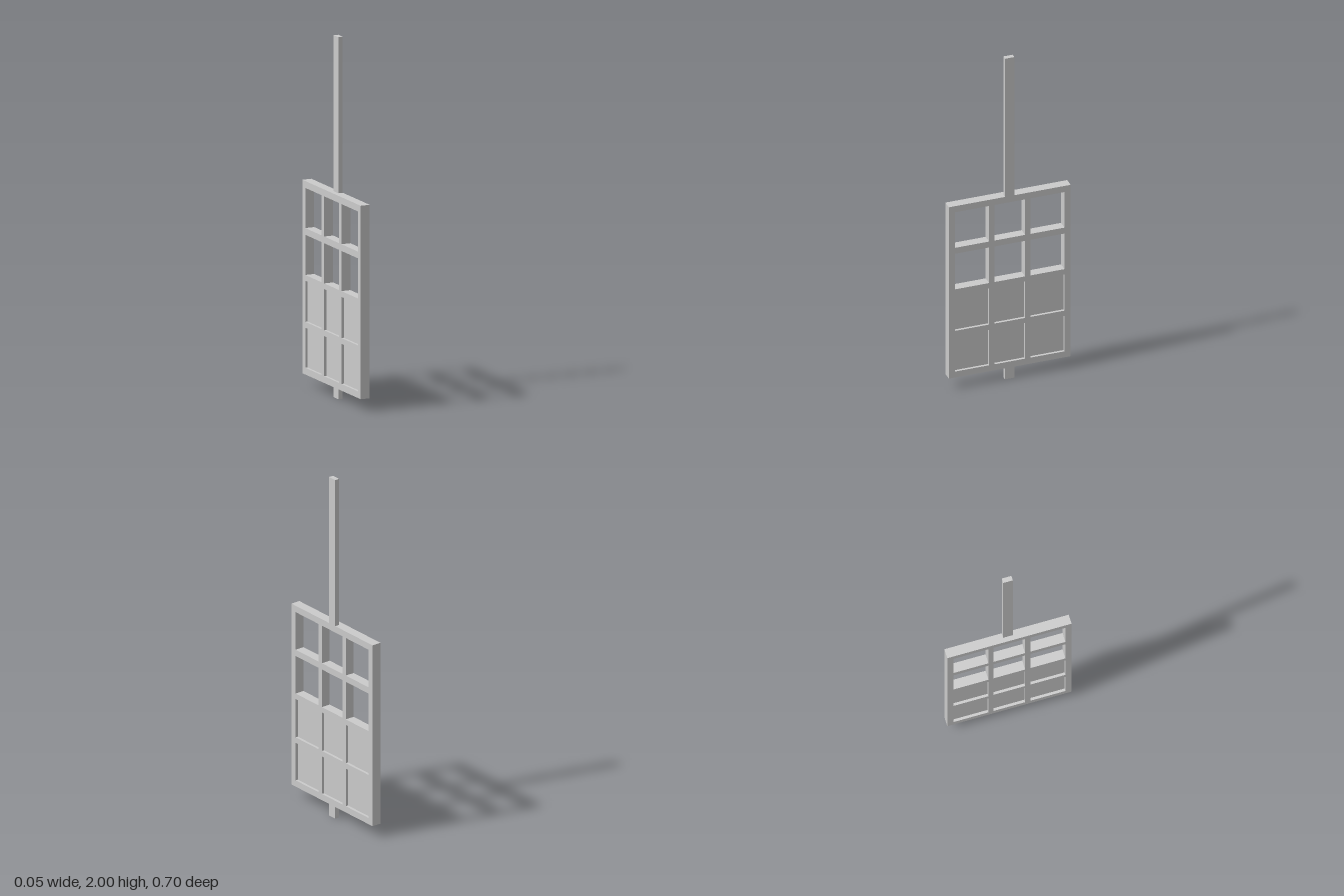
import * as THREE from 'three';

const material = new THREE.MeshStandardMaterial({ color: 0xcccccc, flatShading: true });

const HALF_WIDTH = 0.349, BOTTOM = 0.069, TOP = 1.138, DEPTH = 0.054;
const PANEL_DEPTH = 0.024, POST_WIDTH = 0.054;

// Openings of the grid: [from, to] across (z) and up (y)
const columns = [[-0.314, -0.118], [-0.088, 0.088], [0.118, 0.314]];
const panelRows = [[0.106, 0.328], [0.36, 0.587]];
const windowRows = [[0.619, 0.841], [0.878, 1.1]];

function addBox(parent, name, [x0, x1], [y0, y1], [z0, z1]) {
  const mesh = new THREE.Mesh(new THREE.BoxGeometry(x1 - x0, y1 - y0, z1 - z0), material);
  mesh.position.set((x0 + x1) / 2, (y0 + y1) / 2, (z0 + z1) / 2);
  mesh.name = name;
  parent.add(mesh);
}

function rectangle(path, [a0, a1], [b0, b1]) {
  return path.moveTo(a0, b0).lineTo(a1, b0).lineTo(a1, b1).lineTo(a0, b1).closePath();
}

export function createModel() {
  const model = new THREE.Group();
  model.name = 'latticeDoor';

  // Frame with bars, cut from one slab and turned to face sideways
  const outline = rectangle(new THREE.Shape(), [-HALF_WIDTH, HALF_WIDTH], [BOTTOM, TOP]);
  for (const row of [...panelRows, ...windowRows]) {
    for (const column of columns) outline.holes.push(rectangle(new THREE.Path(), column, row));
  }
  const geometry = new THREE.ExtrudeGeometry(outline, { depth: DEPTH, bevelEnabled: false });
  geometry.translate(0, 0, -DEPTH / 2).rotateY(-Math.PI / 2);
  const frame = new THREE.Mesh(geometry, material);
  frame.name = 'frame';
  model.add(frame);

  // Recessed panels closing the two lower rows
  const panels = new THREE.Group();
  panels.name = 'panels';
  for (const row of panelRows) {
    for (const column of columns) {
      addBox(panels, 'panel', [-PANEL_DEPTH / 2, PANEL_DEPTH / 2], row, column);
    }
  }
  model.add(panels);

  // Posts above and below, flush with one face of the frame
  const postX = [0, DEPTH / 2], postZ = [-POST_WIDTH / 2, POST_WIDTH / 2];
  addBox(model, 'upperPost', postX, [TOP, 2], postZ);
  addBox(model, 'lowerPost', postX, [0, BOTTOM], postZ);

  return model;
}
